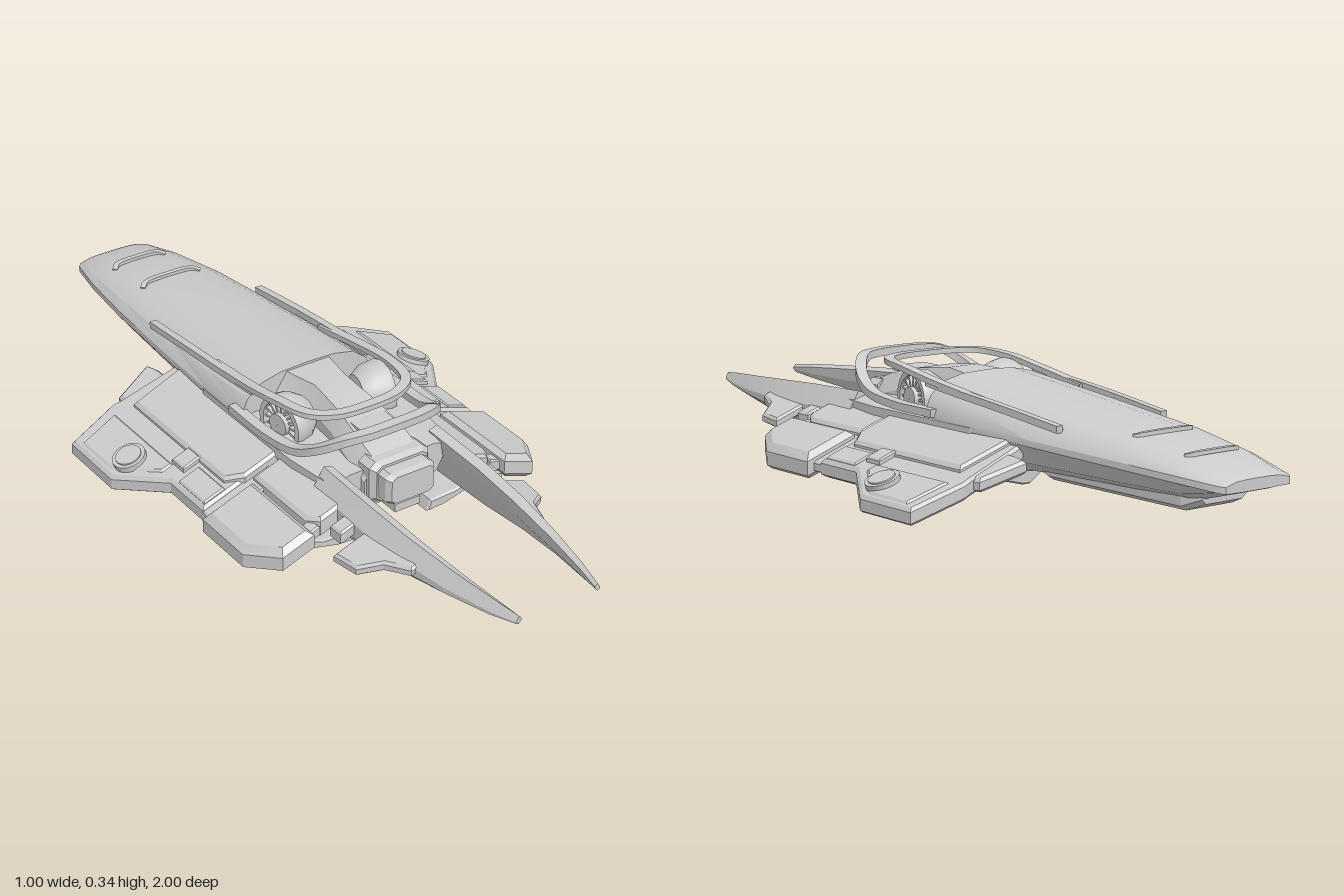
import * as THREE from 'three';
import { toCreasedNormals } from 'three/addons/utils/BufferGeometryUtils.js';

const grey = new THREE.MeshStandardMaterial({ color: 0xcccccc });

export function createModel() {
  const group = new THREE.Group();

  const add = (name, geo, crease = 0.35) => {
    let g = geo.index ? geo.toNonIndexed() : geo;
    g.deleteAttribute('uv');
    g = toCreasedNormals(g, crease);
    const mesh = new THREE.Mesh(g, grey);
    mesh.name = name;
    group.add(mesh);
  };
  // Reflects a geometry in x and restores the corner order
  const mirrored = (geo) => {
    const g = geo.index ? geo.toNonIndexed() : geo.clone();
    const p = g.attributes.position;
    const a = new THREE.Vector3(), b = new THREE.Vector3();
    for (let i = 0; i < p.count; i += 3) {
      a.fromBufferAttribute(p, i + 1);
      b.fromBufferAttribute(p, i + 2);
      p.setXYZ(i + 1, b.x, b.y, b.z);
      p.setXYZ(i + 2, a.x, a.y, a.z);
    }
    return g.scale(-1, 1, 1);
  };
  const pair = (name, geo, crease) => {
    add(name + 'Right', mirrored(geo), crease);
    add(name + 'Left', geo, crease);
  };
  // Skins a list of rings (counter-clockwise seen from the far end) and caps both ends
  const loft = (rings) => {
    const n = rings[0].length, idx = [];
    for (let i = 0; i < rings.length - 1; i++)
      for (let j = 0; j < n; j++) {
        const a = i * n + j, b = i * n + (j + 1) % n;
        idx.push(a, b, b + n, a, b + n, a + n);
      }
    const e = (rings.length - 1) * n;
    for (let j = 1; j < n - 1; j++) idx.push(0, j + 1, j, e, e + j, e + j + 1);
    const g = new THREE.BufferGeometry();
    g.setAttribute('position', new THREE.Float32BufferAttribute(rings.flat(2), 3));
    g.setIndex(idx);
    return g;
  };
  // Closes a half section (bottom to top, x > 0) into a symmetric ring
  const ring = (half, z) => [...half, ...half.filter((p) => p[0] > 0).reverse().map(([x, y]) => [-x, y])]
    .map(([x, y]) => [x, y, z]);
  const box = (w, h, d, x, y, z) => new THREE.BoxGeometry(w, h, d).translate(x, y, z);
  // Rectangular bar swept along a smooth path
  const bar = (points, w, h, steps = 40) => {
    const c = new THREE.CatmullRomCurve3(points.map((p) => new THREE.Vector3(...p)));
    const rings = [];
    for (let i = 0; i <= steps; i++) {
      const p = c.getPoint(i / steps), t = c.getTangent(i / steps);
      const s = new THREE.Vector3(0, 1, 0).cross(t).normalize();
      const u = t.clone().cross(s);
      rings.push([[-1, -1], [1, -1], [1, 1], [-1, 1]].map(([a, b]) =>
        p.clone().addScaledVector(s, a * w / 2).addScaledVector(u, b * h / 2).toArray()));
    }
    return loft(rings);
  };
  const arch = (half) => [...half, ...half.slice(0, -1).reverse().map(([x, y, z]) => [-x, y, z])];

  // Long tapering hull: z, half width, edge height, top, bottom
  const hull = [
    [-1, 0.1, 0.178, 0.193, 0.165], [-0.985, 0.112, 0.18, 0.2, 0.16], [-0.86, 0.14, 0.19, 0.23, 0.125],
    [-0.68, 0.165, 0.2, 0.256, 0.12], [-0.4, 0.187, 0.21, 0.282, 0.115], [-0.2, 0.198, 0.218, 0.3, 0.11],
    [-0.02, 0.2, 0.223, 0.318, 0.1],
  ].map(([z, w, e, t, b]) => ring([
    [w * 0.45, b], [w * 0.82, b + 0.35 * (e - b)], [w, e - 0.012], [w, e + 0.004],
    [w * 0.9, e + 0.5 * (t - e)], [w * 0.7, e + 0.83 * (t - e)], [w * 0.4, e + 0.97 * (t - e)], [0, t],
  ], z));
  add('hull', loft(hull), 0.5);

  // Belly keel, lower front deck, core spine and nose
  add('bellyKeel', loft([[-0.89, 0.07, 0.12], [-0.84, 0.09, 0.1], [-0.38, 0.1, 0.1], [-0.33, 0.09, 0.115]]
    .map(([z, w, b]) => ring([[w * 0.8, b], [w, b + 0.012], [w, 0.15], [w * 0.8, 0.16]], z))));
  add('lowerDeck', loft([[-0.3, 0.15, 0.11], [-0.2, 0.2, 0.095], [0.2, 0.2, 0.09], [0.32, 0.185, 0.1], [0.35, 0.16, 0.115]]
    .map(([z, w, b]) => ring([[w * 0.55, b], [w * 0.85, b + 0.03], [w, 0.19], [w, 0.215], [w * 0.8, 0.225]], z))));
  add('coreSpine', loft([[-0.05, 0.1, 0.31], [0.08, 0.065, 0.315], [0.2, 0.075, 0.3], [0.3, 0.09, 0.275], [0.365, 0.09, 0.25]]
    .map(([z, w, t]) => ring([[w * 0.7, 0.125], [w * 1.05, 0.15], [w * 1.05, t - 0.05], [w * 0.7, t]], z))));
  const nose = (name, w, b, t, z0, z1) => add(name, loft([[z0, 1], [z1 - 0.015, 1], [z1, 0.86]].map(([z, k]) => {
    const m = (t + b) / 2, h = (t - b) / 2 * k, x = w * k;
    return ring([[x * 0.8, m - h], [x, m - h * 0.75], [x, m + h * 0.75], [x * 0.8, m + h]], z);
  })));
  nose('noseCollar', 0.088, 0.14, 0.255, 0.33, 0.39);
  nose('noseBlock', 0.072, 0.155, 0.24, 0.37, 0.435);
  add('noseChin', box(0.075, 0.022, 0.07, 0, 0.13, 0.38));
  add('spinePlate', box(0.1, 0.012, 0.1, 0, 0.285, 0.265).rotateX(0));

  // Rear hatch strips and shoulder ridges
  [[-0.855, 0.08, 0.233], [-0.69, 0.09, 0.256]].forEach(([z, w, y]) =>
    add('hatchLip', bar(arch([[w, y - 0.006, z + 0.015], [w * 0.8, y, z], [0, y + 0.002, z - 0.005]]), 0.014, 0.01, 16)));
  pair('shoulderRidge', bar([[0.165, 0.25, -0.5], [0.17, 0.272, -0.3], [0.172, 0.29, -0.1], [0.172, 0.3, 0]], 0.02, 0.018, 12));

  // Open cockpit frame: upper visor hoop and front lip curling up
  add('visorHoop', bar(arch([[0.165, 0.28, -0.2], [0.172, 0.305, -0.02], [0.168, 0.322, 0.1], [0.145, 0.328, 0.2],
    [0.09, 0.328, 0.24], [0, 0.328, 0.25]]), 0.026, 0.014, 60));
  add('frontLip', bar(arch([[0.198, 0.232, -0.06], [0.2, 0.235, 0.1], [0.19, 0.25, 0.22], [0.168, 0.285, 0.29],
    [0.125, 0.318, 0.337], [0.07, 0.324, 0.352], [0, 0.325, 0.354]]), 0.028, 0.02, 60));

  // Twin turbines in the opening
  const turbine = [[0.001, 0.035], [0.03, 0.035], [0.03, 0.01], [0.058, 0.01], [0.058, 0.03], [0.072, 0.03],
    [0.076, 0.015], [0.07, -0.02], [0.05, -0.05], [0.001, -0.055]].reverse().map((p) => new THREE.Vector2(...p));
  const place = (g) => g.rotateZ(-Math.PI / 2).rotateY(-0.15).translate(0.13, 0.245, 0.085);
  pair('turbine', place(new THREE.LatheGeometry(turbine, 32)), 0.5);
  for (let i = 0; i < 16; i++)
    pair('turbineBlade', place(box(0.034, 0.014, 0.006, 0.044, 0.017, 0).rotateY(i * Math.PI / 8)));

  // Forward prongs: z, ridge x, outer x, top, outer height, bottom
  pair('prong', loft([
    [0.3, 0.145, 0.2, 0.238, 0.19, 0.1], [0.5, 0.145, 0.202, 0.232, 0.18, 0.105], [0.65, 0.14, 0.193, 0.223, 0.175, 0.125],
    [0.8, 0.13, 0.17, 0.212, 0.172, 0.145], [0.93, 0.116, 0.142, 0.202, 0.175, 0.16], [1, 0.106, 0.122, 0.194, 0.18, 0.172],
  ].map(([z, i, o, t, m, b]) => {
    const d = o - i;
    return [[i + d * 0.55, b, z], [o, m - (m - b) * 0.5, z], [o, m, z], [i + d * 0.45, t, z], [i, t - 0.008, z], [i + d * 0.1, m, z]];
  })));

  // Sloping flat plates for wings and fins, outlined in x and z
  const wingY = (x) => 0.165 - 0.36 * (x - 0.2);
  const plate = (outline, thick, lift = 0, bevel = 0.008) => {
    const shape = new THREE.Shape(outline.map(([x, z]) => new THREE.Vector2(x, -z)));
    const g = new THREE.ExtrudeGeometry(shape, { depth: thick - 2 * bevel, bevelEnabled: true, bevelThickness: bevel,
      bevelSize: bevel, bevelOffset: -bevel, bevelSegments: 1 });
    g.rotateX(-Math.PI / 2).translate(0, bevel - thick / 2 + lift, 0);
    const p = g.attributes.position;
    for (let i = 0; i < p.count; i++) p.setY(i, p.getY(i) + wingY(p.getX(i)));
    return g;
  };
  pair('mainWing', plate([[0.17, -0.37], [0.34, -0.385], [0.36, -0.39], [0.5, -0.36], [0.5, -0.16], [0.41, -0.02],
    [0.41, 0.13], [0.17, 0.13]], 0.044));
  pair('wingRootPanel', plate([[0.18, -0.34], [0.33, -0.33], [0.33, 0.1], [0.29, 0.135], [0.18, 0.135]], 0.066, 0.003));
  pair('wingFlap', plate([[0.21, -0.4], [0.22, -0.445], [0.33, -0.405], [0.335, -0.36], [0.21, -0.34]], 0.035));
  pair('wingTipPanel', plate([[0.375, -0.35], [0.49, -0.33], [0.49, -0.18], [0.41, -0.06], [0.375, -0.06]], 0.054));
  pair('wingRib', plate([[0.325, -0.07], [0.375, -0.07], [0.375, -0.015], [0.325, -0.015]], 0.072, 0, 0.004));
  pair('wingSlat', plate([[0.34, 0], [0.4, 0], [0.4, 0.12], [0.34, 0.12]], 0.054, 0, 0.004));
  pair('frontPod', plate([[0.285, 0.16], [0.43, 0.16], [0.43, 0.34], [0.375, 0.43], [0.285, 0.43]], 0.068, 0.004, 0.016));
  pair('frontPodRoot', plate([[0.18, 0.145], [0.272, 0.145], [0.272, 0.37], [0.25, 0.405], [0.18, 0.405]], 0.055));
  pair('podHinge', plate([[0.22, 0.11], [0.41, 0.11], [0.41, 0.19], [0.22, 0.19]], 0.026, 0, 0.004));
  pair('podClamp', plate([[0.255, 0.37], [0.3, 0.37], [0.3, 0.41], [0.255, 0.41]], 0.03, 0, 0.004));
  pair('prongStub', plate([[0.18, 0.43], [0.24, 0.43], [0.24, 0.475], [0.18, 0.475]], 0.035, 0, 0.005));
  pair('prongFin', plate([[0.17, 0.51], [0.285, 0.51], [0.275, 0.59], [0.225, 0.63], [0.195, 0.7], [0.17, 0.7]], 0.026, 0, 0.006));

  // Round bosses through the wings
  const boss = (x, z, r, h, lift) => new THREE.CylinderGeometry(r, r, h, 24).rotateZ(-0.345).translate(x, wingY(x) + lift, z);
  pair('wingBoss', boss(0.43, -0.17, 0.044, 0.074, 0));
  pair('wingBossCap', boss(0.43, -0.17, 0.034, 0.082, 0));
  pair('innerBoss', boss(0.28, -0.17, 0.042, 0.04, -0.03));

  // Underslung arms, as front profiles pushed along z
  const arm = (profile, z0, z1) => new THREE.ExtrudeGeometry(new THREE.Shape(profile.map((p) => new THREE.Vector2(...p))),
    { depth: z1 - z0 - 0.012, bevelEnabled: true, bevelThickness: 0.006, bevelSize: 0.004, bevelOffset: -0.004, bevelSegments: 1 })
    .translate(0, 0, z0 + 0.006);
  pair('lowerArm', arm([[0.05, 0.022], [0.135, 0], [0.16, 0], [0.21, 0.034], [0.31, 0.066], [0.36, 0.085], [0.29, 0.1],
    [0.2, 0.056], [0.13, 0.052], [0.05, 0.046]], 0, 0.165));
  pair('forwardArm', arm([[0.11, 0.028], [0.16, 0.03], [0.22, 0.045], [0.3, 0.07], [0.28, 0.092], [0.2, 0.062], [0.12, 0.058]], 0.16, 0.35));
  pair('armPylon', arm([[0.24, 0.06], [0.33, 0.075], [0.3, 0.13], [0.22, 0.13]], 0.02, 0.3));

  // Central keel pod on its strut
  add('keelPod', loft([[-0.005, 0.8], [0.015, 1], [0.15, 1], [0.172, 0.8]].map(([z, k]) => ring([
    [0.032 * k, 0.042 - 0.022 * k], [0.05 * k, 0.042 - 0.01 * k], [0.05 * k, 0.042 + 0.01 * k], [0.032 * k, 0.042 + 0.022 * k]], z))));
  add('keelLink', box(0.14, 0.014, 0.11, 0, 0.036, 0.085));
  add('keelStrut', box(0.028, 0.07, 0.12, 0, 0.085, 0.085));

  return group;
}
